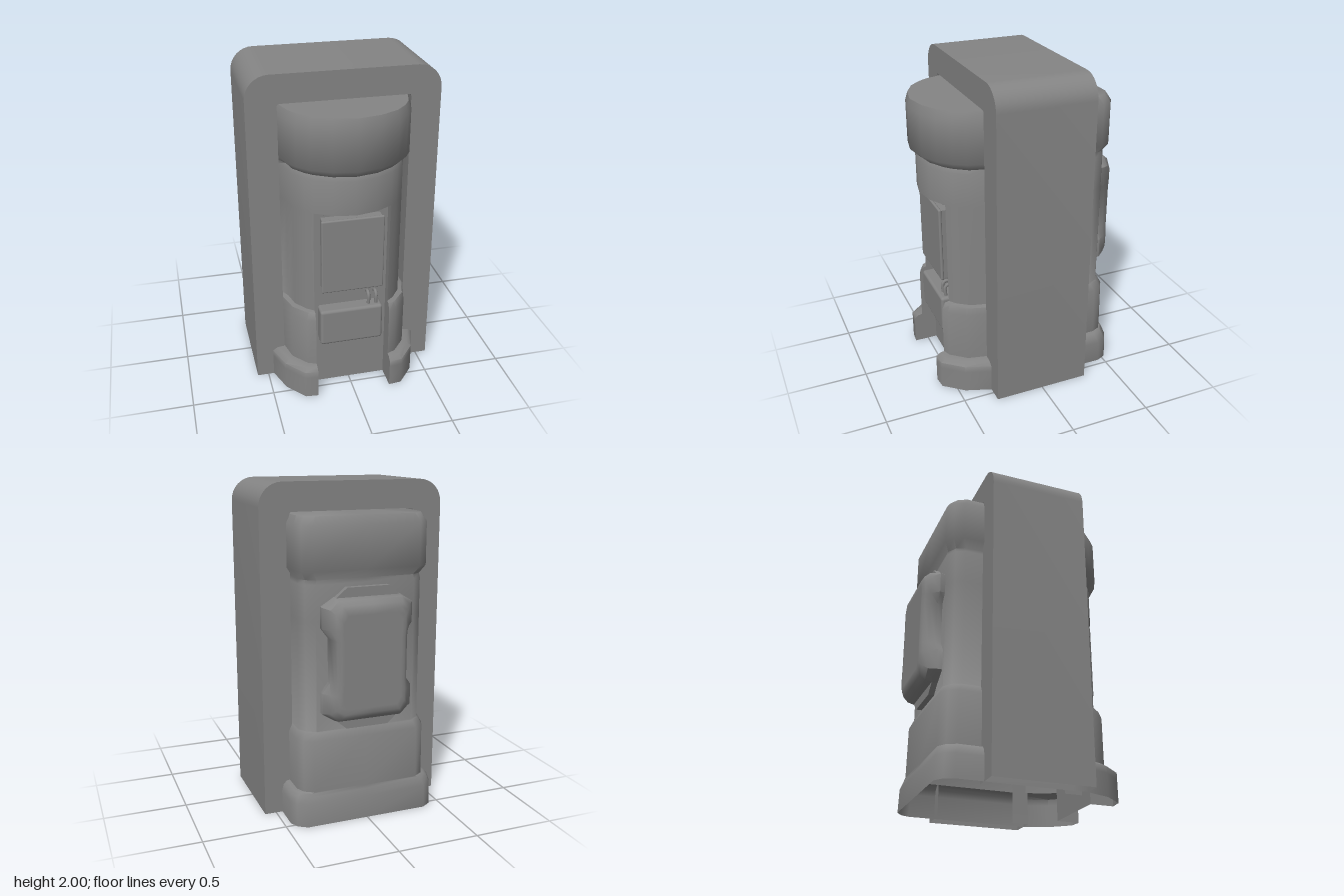
import * as THREE from 'three';
import { toCreasedNormals } from 'three/addons/utils/BufferGeometryUtils.js';
import { RoundedBoxGeometry } from 'three/addons/geometries/RoundedBoxGeometry.js';

const material = new THREE.MeshStandardMaterial({ color: 0x848484, side: THREE.DoubleSide });

// Mirror a half outline (starting on the centre line, going round by +x)
function mirrorOutline(half) {
  const other = half.filter(p => Math.abs(p[0]) > 1e-6).reverse().map(([x, z]) => [-x, z]);
  return [...half, ...other];
}

// Skin a stack of half outlines [height, points]; optional cap and open seam
function loft(levels, { cap = false, skip = -1, crease = 0.6 } = {}) {
  const rings = levels.map(([y, half]) => mirrorOutline(half).map(([x, z]) => [x, y, z]));
  const n = rings[0].length;
  const pos = [];
  for (let j = 0; j < rings.length - 1; j++) {
    for (let i = 0; i < n; i++) {
      if (i === skip) continue;
      const k = (i + 1) % n;
      const a = rings[j][i], b = rings[j][k], c = rings[j + 1][k], d = rings[j + 1][i];
      pos.push(...a, ...b, ...c, ...a, ...c, ...d);
    }
  }
  if (cap) {
    const top = rings[rings.length - 1];
    const zs = top.map(p => p[2]);
    const mid = [0, top[0][1], (Math.min(...zs) + Math.max(...zs)) / 2];
    for (let i = 0; i < n; i++) pos.push(...mid, ...top[i], ...top[(i + 1) % n]);
  }
  const geo = new THREE.BufferGeometry();
  geo.setAttribute('position', new THREE.Float32BufferAttribute(pos, 3));
  return toCreasedNormals(geo, crease);
}

// Half of a round-topped doorway outline
function arch(w, top, r) {
  const pts = [[0, top]];
  for (let i = 0; i <= 8; i++) {
    const a = Math.PI / 2 * (1 - i / 8);
    pts.push([w - r + r * Math.cos(a), top - r + r * Math.sin(a)]);
  }
  pts.push([w, 0]);
  return pts;
}

// Body cross-section: front points, then side and chamfered back
function section(front, w, back) {
  return [...front, [w, 0.22], [w, back + 0.09], [w - 0.025, back + 0.035], [w - 0.08, back], [0, back]];
}

export function createModel() {
  const group = new THREE.Group();
  const add = (name, geo, x = 0, y = 0, z = 0) => {
    const mesh = new THREE.Mesh(geo, material);
    mesh.name = name;
    mesh.position.set(x, y, z);
    group.add(mesh);
  };

  // Frame: hollow arched sleeve with front and back faces
  const outer = arch(0.57, 2, 0.14), inner = arch(0.39, 1.83, 0.015);
  const seam = outer.length - 1;
  add('frameShell', loft([[-0.305, outer], [0.3, outer]], { skip: seam }).rotateX(-Math.PI / 2));
  add('frameFrontLip', loft([[-0.305, inner], [-0.2, inner]], { skip: seam }).rotateX(-Math.PI / 2));
  const footToFoot = pts => [...pts.slice(1).reverse().map(([x, y]) => [-x, y]), ...pts];
  const face = new THREE.Shape(
    [...footToFoot(outer), ...footToFoot(inner).reverse()].map(p => new THREE.Vector2(...p)));
  add('frameFront', new THREE.ShapeGeometry(face), 0, 0, 0.305);
  add('frameBack', new THREE.ShapeGeometry(face).rotateY(Math.PI), 0, 0, -0.3);

  // Body: stacked sections with a recess running up the lower front
  const recess = [[0, 0.44], [0.23, 0.44]];
  const foot = [...recess, [0.23, 0.588], [0.31, 0.58], [0.41, 0.46], [0.47, 0.29]];
  const footTop = [...recess, [0.23, 0.56], [0.3, 0.55], [0.385, 0.44], [0.44, 0.29]];
  const leg = [...recess, [0.23, 0.535], [0.28, 0.515], [0.36, 0.42], [0.39, 0.29]];
  const legTop = [...recess, [0.23, 0.515], [0.27, 0.5], [0.35, 0.41], [0.385, 0.29]];
  const pillar = [...recess, [0.23, 0.49], [0.275, 0.455], [0.33, 0.38], [0.352, 0.29]];
  const chest = [[0, 0.575], [0.13, 0.55], [0.23, 0.495], [0.275, 0.455], [0.33, 0.38], [0.352, 0.29]];
  const chestTop = chest.map(([x, z]) => [x * 0.98, z - 0.01]);
  const head = [[0, 0.617], [0.14, 0.59], [0.25, 0.535], [0.32, 0.465], [0.36, 0.4], [0.39, 0.305]];
  const headTop = head.map(([x, z]) => [x * 0.96, z - 0.014]);
  const body = [
    [0, section(foot, 0.46, -0.555)],
    [0.14, section(foot, 0.46, -0.55)],
    [0.18, section(foot, 0.45, -0.535)],
    [0.2, section(footTop, 0.43, -0.53)],
    [0.205, section(leg, 0.41, -0.53)],
    [0.52, section(leg, 0.41, -0.525)],
    [0.565, section(legTop, 0.39, -0.505)],
    [0.57, section(pillar, 0.385, -0.5)],
    [1.23, section(pillar, 0.385, -0.5)],
    [1.23, section(chest, 0.385, -0.5)],
    [1.44, section(chest, 0.385, -0.5)],
    [1.465, section(chestTop, 0.38, -0.495)],
    [1.515, section(head, 0.41, -0.522)],
    [1.77, section(head, 0.41, -0.522)],
    [1.82, section(headTop, 0.385, -0.495)],
  ];
  add('body', loft(body, { cap: true, crease: 1 }));

  // Front panel on its backing, brow strip and tray in the recess
  add('frontPanel', new RoundedBoxGeometry(0.38, 0.48, 0.02, 3, 0.009), 0, 0.94, 0.51);
  add('panelBacking', new THREE.BoxGeometry(0.36, 0.46, 0.07), 0, 0.94, 0.467);
  add('panelBrow', new THREE.BoxGeometry(0.34, 0.02, 0.05), 0, 1.21, 0.46);
  add('tray', new RoundedBoxGeometry(0.39, 0.24, 0.16, 3, 0.018), -0.003, 0.45, 0.445);

  // Pair of small hooks above the tray
  for (const x of [0.11, 0.157]) {
    const curve = new THREE.CatmullRomCurve3([
      new THREE.Vector3(x, 0.56, 0.485), new THREE.Vector3(x, 0.63, 0.485),
      new THREE.Vector3(x, 0.645, 0.465), new THREE.Vector3(x, 0.63, 0.43)]);
    add('hook', new THREE.TubeGeometry(curve, 12, 0.011, 8));
  }

  // Back pack: domed box whose four corners flare into ears
  const packOutline = (ear, waist, edge, h) => [
    [0, 1 + h], [edge, 1 + h], [ear, 1 + h - 0.05], [ear, 1.19], [waist, 1.13],
    [waist, 0.87], [ear, 0.81], [ear, 1 - h + 0.05], [edge, 1 - h], [0, 1 - h]];
  const packFace = packOutline(0.2, 0.195, 0.17, 0.305);
  // The flat outer face is swapped to (x, z) order by the turn below, so it is fanned about y = 1
  add('backPack', loft([
    [0.48, packOutline(0.28, 0.235, 0.2, 0.365)],
    [0.53, packOutline(0.28, 0.235, 0.2, 0.365)],
    [0.575, packOutline(0.245, 0.225, 0.195, 0.355)],
    [0.605, packOutline(0.222, 0.215, 0.185, 0.33)],
    [0.62, packFace],
    [0.62, packFace.map(([x, y]) => [x * 0.9, 1 + (y - 1) * 0.9])],
  ], { cap: true, crease: 0.8 }).rotateX(-Math.PI / 2));

  // Tabs above and below the pack
  const tab = [[0, 1.42], [0.13, 1.42], [0.2, 1.36], [0.2, 0.64], [0.13, 0.58], [0, 0.58]];
  add('packTabs', loft([[0.48, tab], [0.535, tab]], { cap: true }).rotateX(-Math.PI / 2));

  return group;
}
